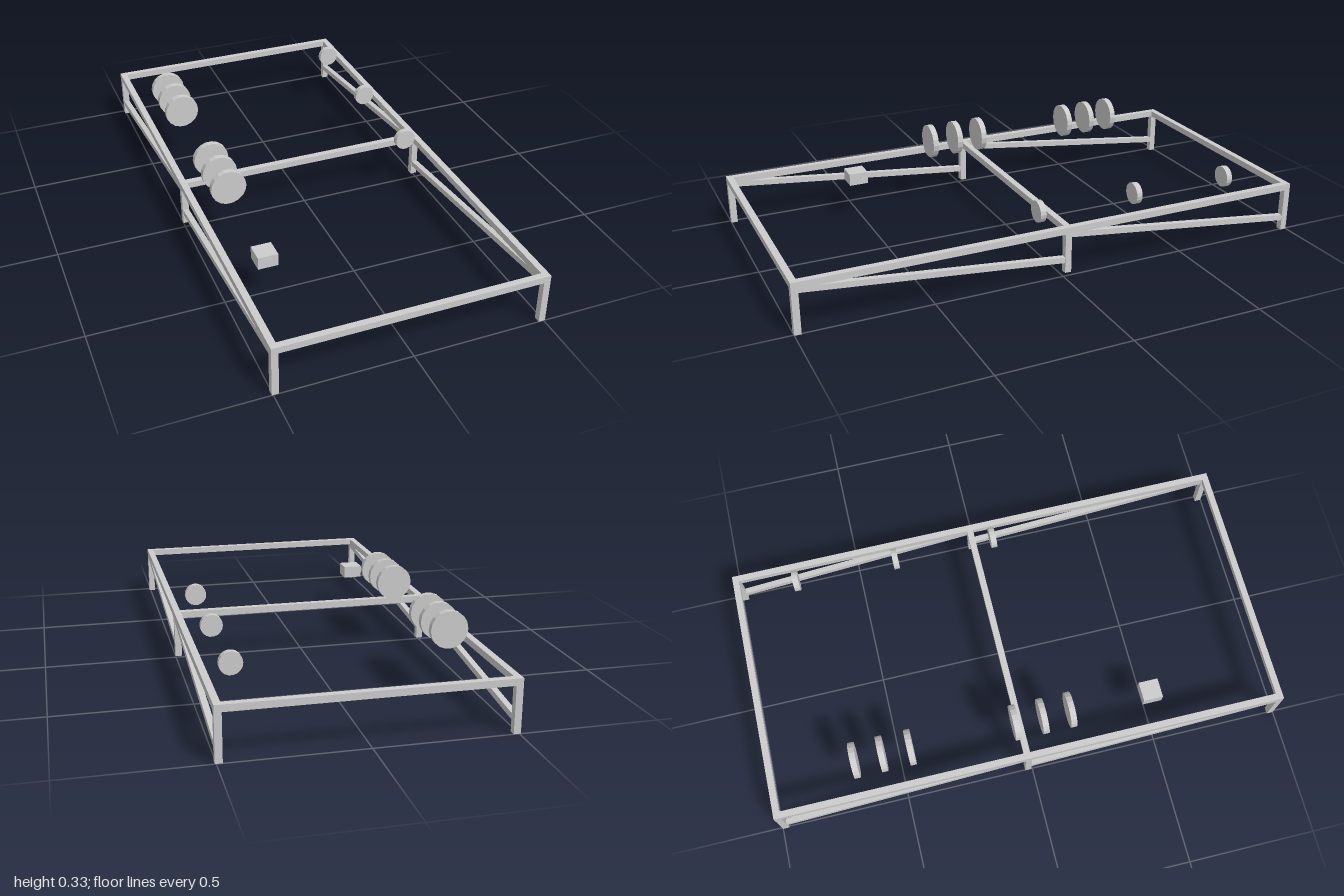
import * as THREE from 'three';

export function createModel() {
  const model = new THREE.Group();
  const grey = new THREE.MeshStandardMaterial({ color: 0xcccccc });
  grey.name = 'lightGrey';
  grey.flatShading = true;

  const add = (name, geometry, x, y, z) => {
    const mesh = new THREE.Mesh(geometry, grey);
    mesh.name = name;
    mesh.position.set(x, y, z);
    model.add(mesh);
    return mesh;
  };
  // Box given by its limits on each axis
  const box = (name, x0, x1, y0, y1, z0, z1) =>
    add(name, new THREE.BoxGeometry(x1 - x0, y1 - y0, z1 - z0), (x0 + x1) / 2, (y0 + y1) / 2, (z0 + z1) / 2);

  const T = 0.025, TOP = 0.194, UNDER = TOP - T, X = 0.505, MID = -0.0175;

  // Sloping brace along z at one side, between two centre points
  const brace = (x, z0, y0, z1, y1) => {
    const dz = z1 - z0, dy = y1 - y0;
    const mesh = add('brace', new THREE.BoxGeometry(0.022, 0.022, Math.hypot(dz, dy)), x, (y0 + y1) / 2, (z0 + z1) / 2);
    mesh.rotation.x = Math.atan2(-dy, dz);
  };

  // Side rails, legs and braces
  for (const side of [-1, 1]) {
    const x = side * (X - T / 2);
    box('sideRail', x - T / 2, x + T / 2, UNDER, TOP, -1, 1);
    box('frontLeg', x - T / 2, x + T / 2, 0, UNDER, 1 - T, 1);
    box('middleLeg', x - T / 2, x + T / 2, 0.015, UNDER, MID - T / 2, MID + T / 2);
    box('backLeg', x - T / 2, x + T / 2, 0, UNDER, -1, -1 + T);
    brace(x, 0.985, 0.165, -0.01, 0.065);
    brace(x, -0.025, 0.165, -0.98, 0.051);
  }

  // Cross rails
  const inner = X - T;
  box('frontRail', -inner, inner, UNDER, TOP, 1 - T, 1);
  box('middleRail', -inner, inner, UNDER, TOP, MID - 0.003 - T / 2, MID - 0.003 + T / 2);
  box('backRail', -inner, inner, UNDER, TOP, -1, -1 + T);

  // Upright discs resting on a flat facet: six large ones and three small ones
  const SIDES = 18;
  const disc = (name, r, x, z) => {
    const geometry = new THREE.CylinderGeometry(r, r, 0.023, SIDES, 1, false, Math.PI / 2).rotateX(Math.PI / 2);
    add(name, geometry, x, TOP + r * Math.cos(Math.PI / SIDES), z);
  };
  for (const z of [-0.66, -0.555, -0.447, -0.042, 0.065, 0.173]) disc('largeDisc', 0.0685, -0.372, z);
  for (const z of [-0.747, -0.344, 0.057]) disc('smallDisc', 0.041, 0.409, z);

  // Small block, its top level with the frame
  box('block', -0.388, -0.312, 0.146, TOP, 0.47, 0.546);

  return model;
}
